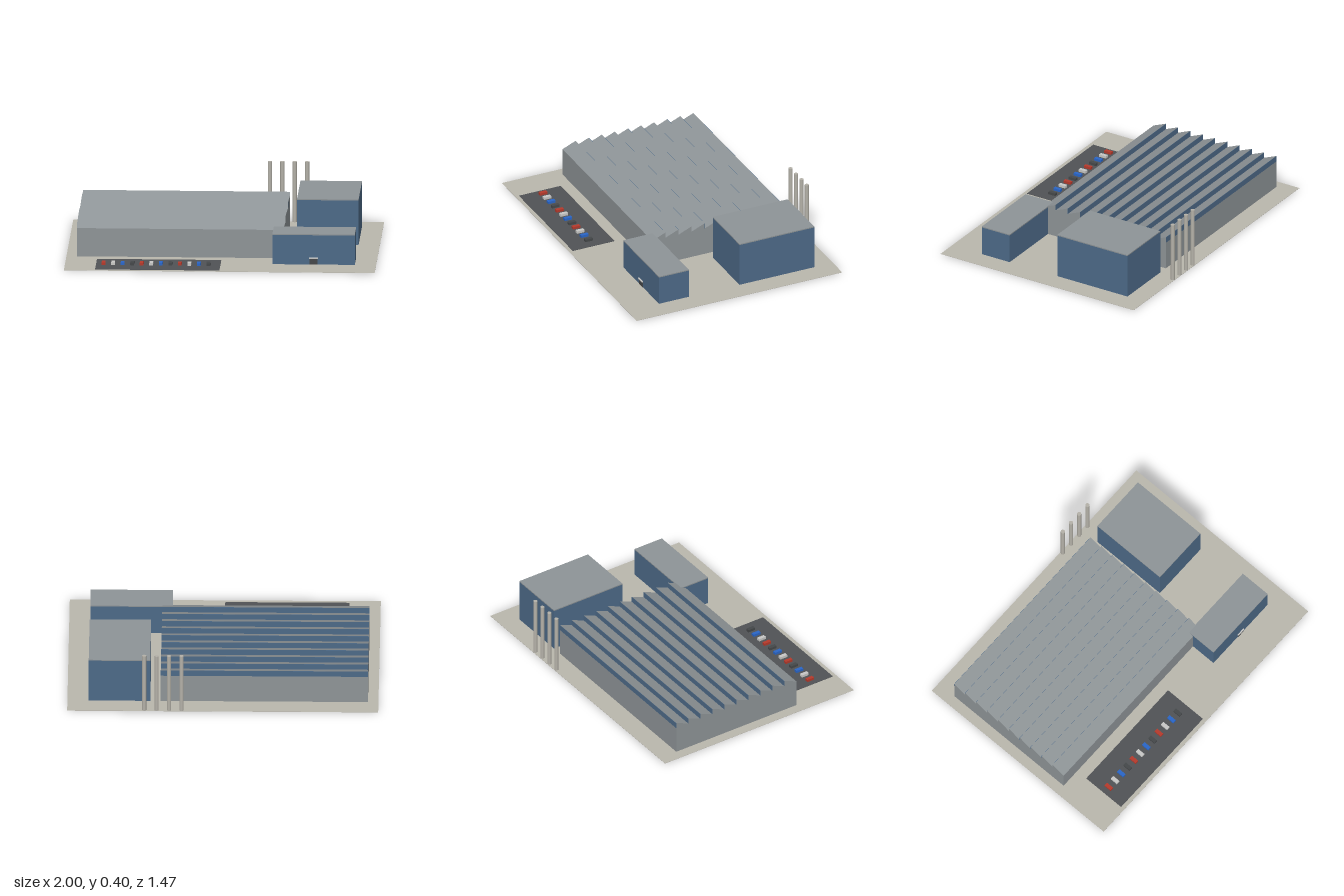
import * as THREE from 'three';

const mat = (name, color) => {
  const m = new THREE.MeshStandardMaterial({ color });
  m.name = name;
  return m;
};

export function createModel() {
  const concrete = mat('concrete', 0xbab7ad);
  const grey = mat('grey cladding', 0x8e9497);
  const blue = mat('blue cladding', 0x4d6a88);
  const chimneyGrey = mat('chimney grey', 0xb4b1a8);
  const asphalt = mat('asphalt', 0x505356);
  const dark = mat('dark grey', 0x45484a);
  const red = mat('red', 0xb53a2c);
  const white = mat('white', 0xc8c8c6);
  const carBlue = mat('bright blue', 0x2a66c8);

  const model = new THREE.Group();
  model.name = 'factory';

  const add = (name, geometry, material, parent = model) => {
    const mesh = new THREE.Mesh(geometry, material);
    mesh.name = name;
    parent.add(mesh);
    return mesh;
  };
  // Box given by its lower and upper limits on each axis
  const box = (name, material, [x0, x1], [y0, y1], [z0, z1], parent) => {
    const g = new THREE.BoxGeometry(x1 - x0, y1 - y0, z1 - z0);
    g.translate((x0 + x1) / 2, (y0 + y1) / 2, (z0 + z1) / 2);
    return add(name, g, material, parent);
  };

  // Site and car park
  box('ground', concrete, [-1, 1], [0, 0.002], [-0.733, 0.733]);
  box('carPark', asphalt, [-0.8, 0], [0.001, 0.004], [0.41, 0.707]);

  // Main hall: sawtooth section extruded along x
  const x0 = -0.933, x1 = 0.4, zBack = -0.6, zFront = 0.333;
  const teeth = 10, low = 0.188, high = 0.227;
  const pitch = (zFront - zBack) / teeth;
  const section = new THREE.Shape();
  section.moveTo(-zFront, 0.001);
  section.lineTo(-zBack, 0.001);
  for (let i = 0; i < teeth; i++) {
    const z = zBack + i * pitch;
    section.lineTo(-z, high);
    section.lineTo(-(z + pitch), low);
    if (i < teeth - 1) section.lineTo(-(z + pitch), low);
  }
  section.closePath();
  const hallGeometry = new THREE.ExtrudeGeometry(section, { depth: x1 - x0, bevelEnabled: false });
  hallGeometry.rotateY(Math.PI / 2).translate(x0, 0, 0);
  const hall = new THREE.Group();
  hall.name = 'mainHall';
  model.add(hall);
  add('hallBody', hallGeometry, grey, hall);

  // Blue glazing on the upright back of each tooth
  for (let i = 0; i < teeth; i++) {
    const z = zBack + i * pitch;
    box('roofGlazing', blue, [x0, x1], [low, high - 0.0005], [z - 0.0015, z + 0.0005], hall);
  }

  // Flat-roofed blocks
  const block = (name, xs, zs, height) => {
    const group = new THREE.Group();
    group.name = name;
    model.add(group);
    box('walls', blue, xs, [0.001, height - 0.007], zs, group);
    box('roof', grey, xs, [height - 0.007, height], zs, group);
    return group;
  };
  block('tallBlock', [0.467, 0.863], [-0.6, -0.067], 0.302);
  const office = block('office', [0.333, 0.863], [0.295, 0.507], 0.202);

  // Entrance
  box('door', dark, [0.573, 0.623], [0.002, 0.038], [0.505, 0.51], office);
  box('doorCanopy', white, [0.568, 0.627], [0.04, 0.047], [0.505, 0.515], office);

  // Chimneys
  for (let i = 0; i < 4; i++) {
    const chimney = add('chimney', new THREE.CylinderGeometry(0.0135, 0.0135, 0.399, 16), chimneyGrey);
    chimney.position.set(0.265 + i * 0.08, 0.2005, -0.719);
  }

  // Row of parked cars
  const paints = [red, white, carBlue, dark];
  for (let i = 0; i < 12; i++) {
    const x = -0.751 + i * 0.0613;
    box('car', paints[i % 4], [x - 0.012, x + 0.012], [0.003, 0.021], [0.534, 0.586]);
  }

  return model;
}
